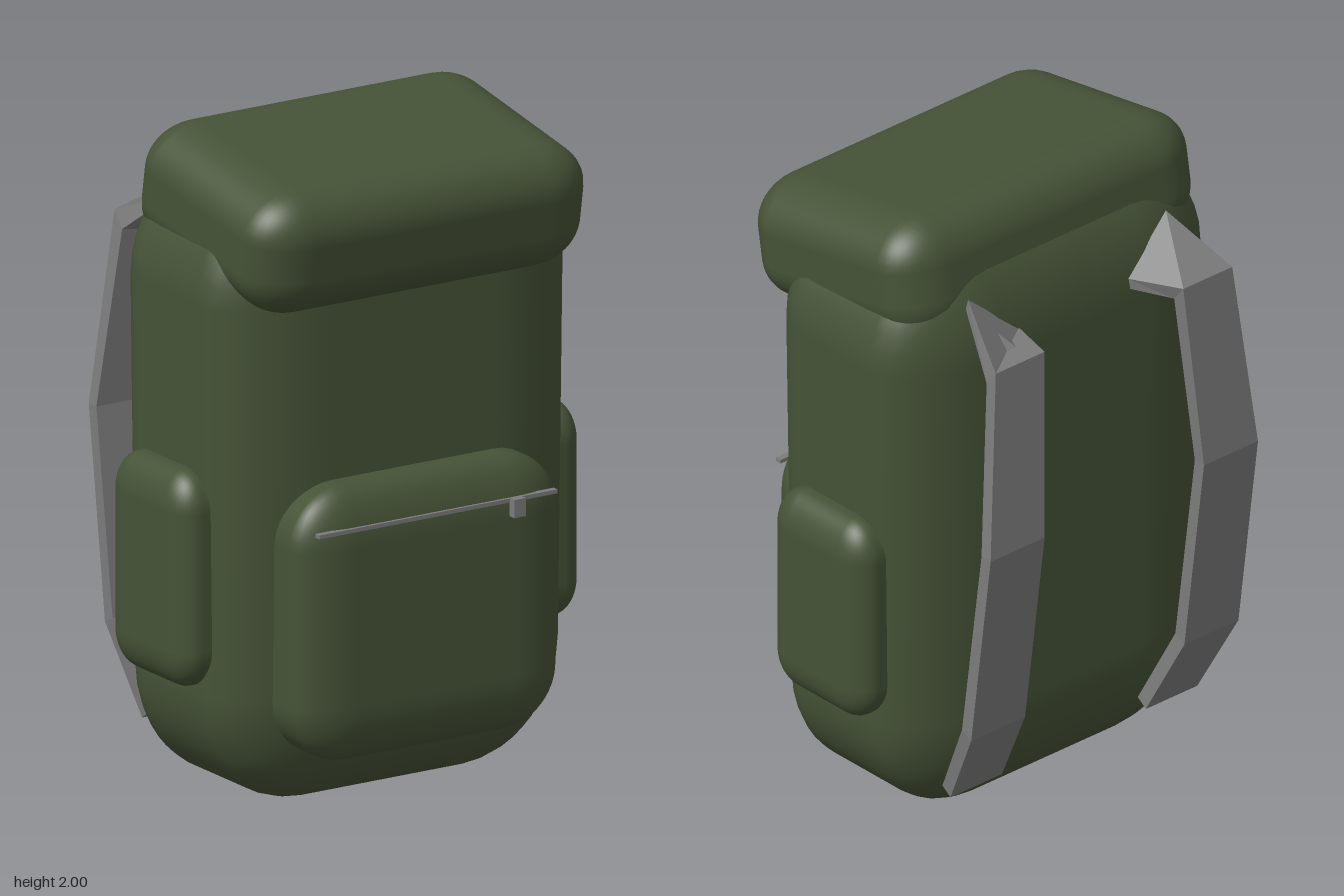
import * as THREE from 'three';
import { RoundedBoxGeometry } from 'three/addons/geometries/RoundedBoxGeometry.js';

const canvas = new THREE.MeshStandardMaterial({ color: 0x465337 });
canvas.name = 'olive canvas';
const webbing = new THREE.MeshStandardMaterial({ color: 0x7c7c7c, flatShading: true, side: THREE.DoubleSide });
webbing.name = 'grey webbing';

// Soft box whose corner radius differs along x, y and z
function softBox([w, h, d], [rx, ry, rz]) {
  return new RoundedBoxGeometry(w / rx, h / ry, d / rz, 5, 1).scale(rx, ry, rz);
}

function addPart(group, name, geometry, material, x, y, z) {
  const mesh = new THREE.Mesh(geometry, material);
  mesh.name = name;
  mesh.position.set(x, y, z);
  group.add(mesh);
  return mesh;
}

// Strap sections: inner edge xyz, outer edge xyz, then thickness offset y, z
const strapSections = [
  [0.21, 1.62, -0.31, 0.385, 1.77, -0.285, -0.035, 0.01],
  [0.27, 1.64, -0.49, 0.46, 1.64, -0.49, -0.05, 0.04],
  [0.31, 1.05, -0.535, 0.52, 1.05, -0.535, 0, 0.04],
  [0.31, 0.41, -0.45, 0.52, 0.41, -0.45, 0.02, 0.04],
  [0.28, 0.145, -0.315, 0.48, 0.145, -0.315, 0.025, 0.035],
];

function strapGeometry(side) {
  const rings = strapSections.map(([ax, ay, az, bx, by, bz, oy, oz]) => {
    const ring = [
      [side * ax, ay, az],
      [side * bx, by, bz],
      [side * bx, by + oy, bz + oz],
      [side * ax, ay + oy, az + oz],
    ];
    return side > 0 ? ring : ring.reverse();
  });
  const positions = [];
  const quad = (a, b, c, d) => positions.push(...a, ...b, ...c, ...a, ...c, ...d);
  for (let i = 0; i < rings.length - 1; i++) {
    for (let j = 0; j < 4; j++) {
      const k = (j + 1) % 4;
      quad(rings[i][j], rings[i][k], rings[i + 1][k], rings[i + 1][j]);
    }
  }
  quad(...[...rings[0]].reverse());
  quad(...rings[rings.length - 1]);
  const geometry = new THREE.BufferGeometry();
  geometry.setAttribute('position', new THREE.Float32BufferAttribute(positions, 3));
  geometry.computeVertexNormals();
  return geometry;
}

export function createModel() {
  const group = new THREE.Group();
  group.name = 'backpack';

  // Main bag, slightly slimmer towards the bottom
  const body = softBox([1.25, 1.9, 0.71], [0.34, 0.36, 0.2]);
  const p = body.attributes.position;
  for (let i = 0; i < p.count; i++) {
    const t = THREE.MathUtils.clamp((0.6 - p.getY(i)) / 1.3, 0, 1);
    p.setX(i, p.getX(i) * (1 - 0.015 * t));
    p.setZ(i, p.getZ(i) * (1 - 0.06 * t));
  }
  addPart(group, 'mainBag', body, canvas, 0, 0.955, 0.035);

  // Lid, tipped forward
  const lid = softBox([1.17, 0.385, 0.745], [0.17, 0.14, 0.13]);
  addPart(group, 'lid', lid, canvas, 0, 1.769, 0.119).rotation.x = 0.165;

  // Pockets
  addPart(group, 'frontPocket', softBox([0.92, 0.835, 0.27], [0.18, 0.18, 0.09]), canvas, 0, 0.593, 0.38);
  for (const side of [1, -1]) {
    const label = side > 0 ? 'left' : 'right';
    const pocket = softBox([0.26, 0.66, 0.41], [0.08, 0.12, 0.1]);
    addPart(group, label + 'SidePocket', pocket, canvas, side * 0.58, 0.715, 0.032);
    addPart(group, label + 'ShoulderStrap', strapGeometry(side), webbing, 0, 0, 0);
  }

  // Front pocket zip and its pull tab
  addPart(group, 'zip', new THREE.BoxGeometry(0.83, 0.012, 0.02), webbing, 0, 0.893, 0.508);
  addPart(group, 'zipPull', new THREE.BoxGeometry(0.04, 0.055, 0.025), webbing, 0.27, 0.872, 0.527);

  return group;
}
